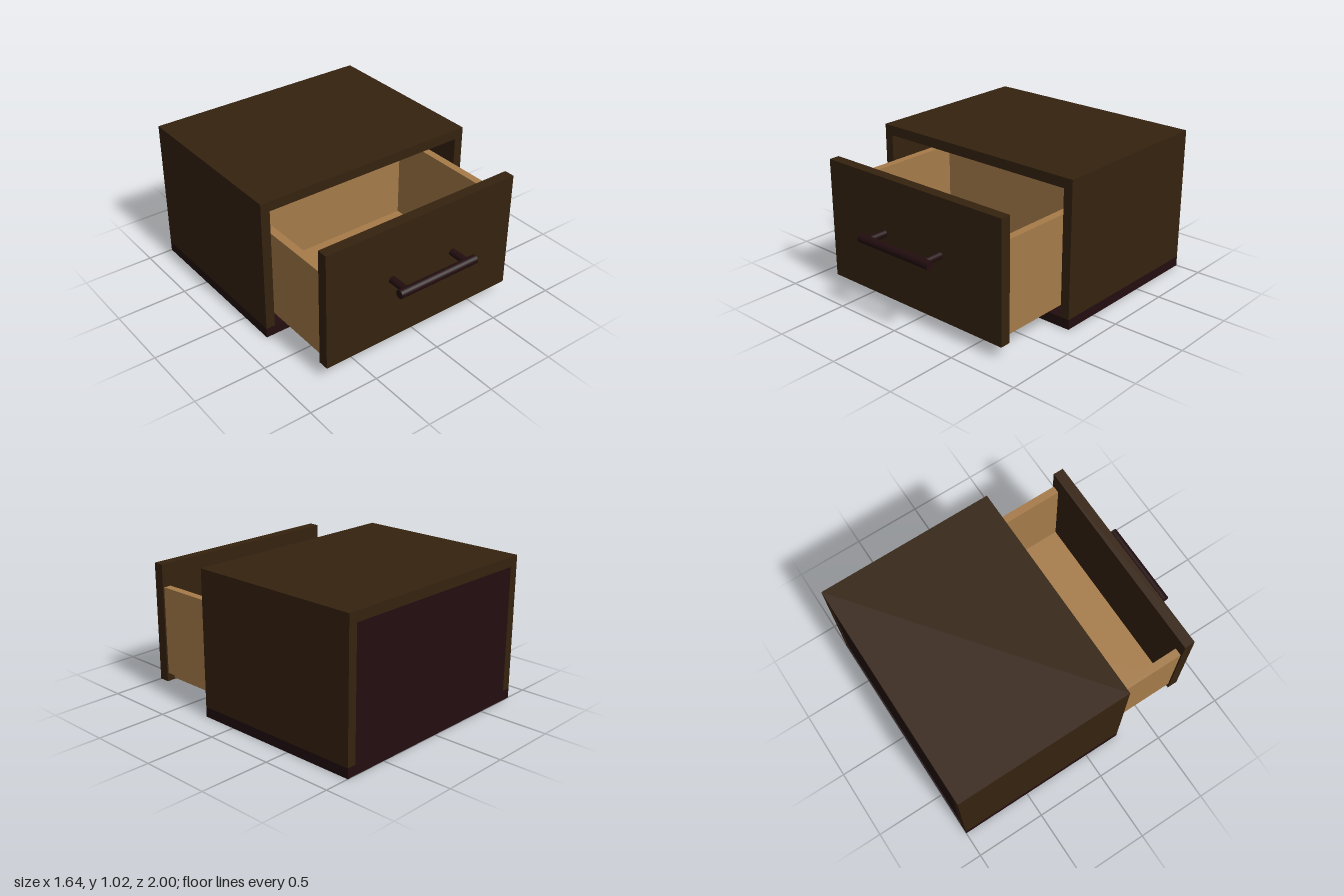
import * as THREE from 'three';

const material = (name, color) => {
  const m = new THREE.MeshStandardMaterial({ color });
  m.name = name;
  return m;
};

export function createModel() {
  const walnut = material('dark walnut', 0x35220f);
  const oak = material('light oak', 0xa67b49);
  const ebony = material('ebony', 0x220d0f);

  const model = new THREE.Group();
  model.name = 'nightstand';
  const cabinet = new THREE.Group();
  cabinet.name = 'cabinet';
  const drawer = new THREE.Group();
  drawer.name = 'drawer';
  const handle = new THREE.Group();
  handle.name = 'handle';
  drawer.add(handle);
  model.add(cabinet, drawer);

  // Board given by its extents on each axis
  const board = (parent, name, mat, [x0, x1], [y0, y1], [z0, z1]) => {
    const mesh = new THREE.Mesh(new THREE.BoxGeometry(x1 - x0, y1 - y0, z1 - z0), mat);
    mesh.position.set((x0 + x1) / 2, (y0 + y1) / 2, (z0 + z1) / 2);
    mesh.name = name;
    parent.add(mesh);
  };

  // Cabinet shell
  board(cabinet, 'base', ebony, [-0.82, 0.82], [0, 0.07], [-1, 0.26]);
  board(cabinet, 'top', walnut, [-0.82, 0.82], [0.95, 1.02], [-1, 0.26]);
  board(cabinet, 'backPanel', ebony, [-0.755, 0.755], [0.07, 0.95], [-0.995, -0.935]);

  // Drawer tray and front
  board(drawer, 'drawerFront', walnut, [-0.75, 0.75], [0.09, 0.93], [0.75, 0.825]);
  board(drawer, 'drawerBottom', oak, [-0.69, 0.69], [0.1, 0.15], [-0.29, 0.75]);
  board(drawer, 'drawerBack', oak, [-0.685, 0.685], [0.15, 0.77], [-0.29, -0.23]);

  // Handle bar
  const bar = new THREE.Mesh(new THREE.CylinderGeometry(0.03, 0.03, 0.62, 32), ebony);
  bar.rotation.z = Math.PI / 2;
  bar.position.set(0, 0.545, 0.97);
  bar.name = 'handleBar';
  handle.add(bar);

  // Mirrored sides and handle posts
  for (const [side, s] of [['left', 1], ['right', -1]]) {
    const span = (a, b) => (s > 0 ? [a, b] : [-b, -a]);
    board(cabinet, side + 'Side', walnut, span(0.755, 0.82), [0.07, 0.95], [-1, 0.26]);
    board(drawer, side + 'DrawerSide', oak, span(0.685, 0.74), [0.15, 0.77], [-0.29, 0.75]);
    const post = new THREE.Mesh(new THREE.CylinderGeometry(0.025, 0.025, 0.145, 24), ebony);
    post.rotation.x = Math.PI / 2;
    post.position.set(s * 0.247, 0.545, 0.8975);
    post.name = side + 'HandlePost';
    handle.add(post);
  }
  return model;
}
